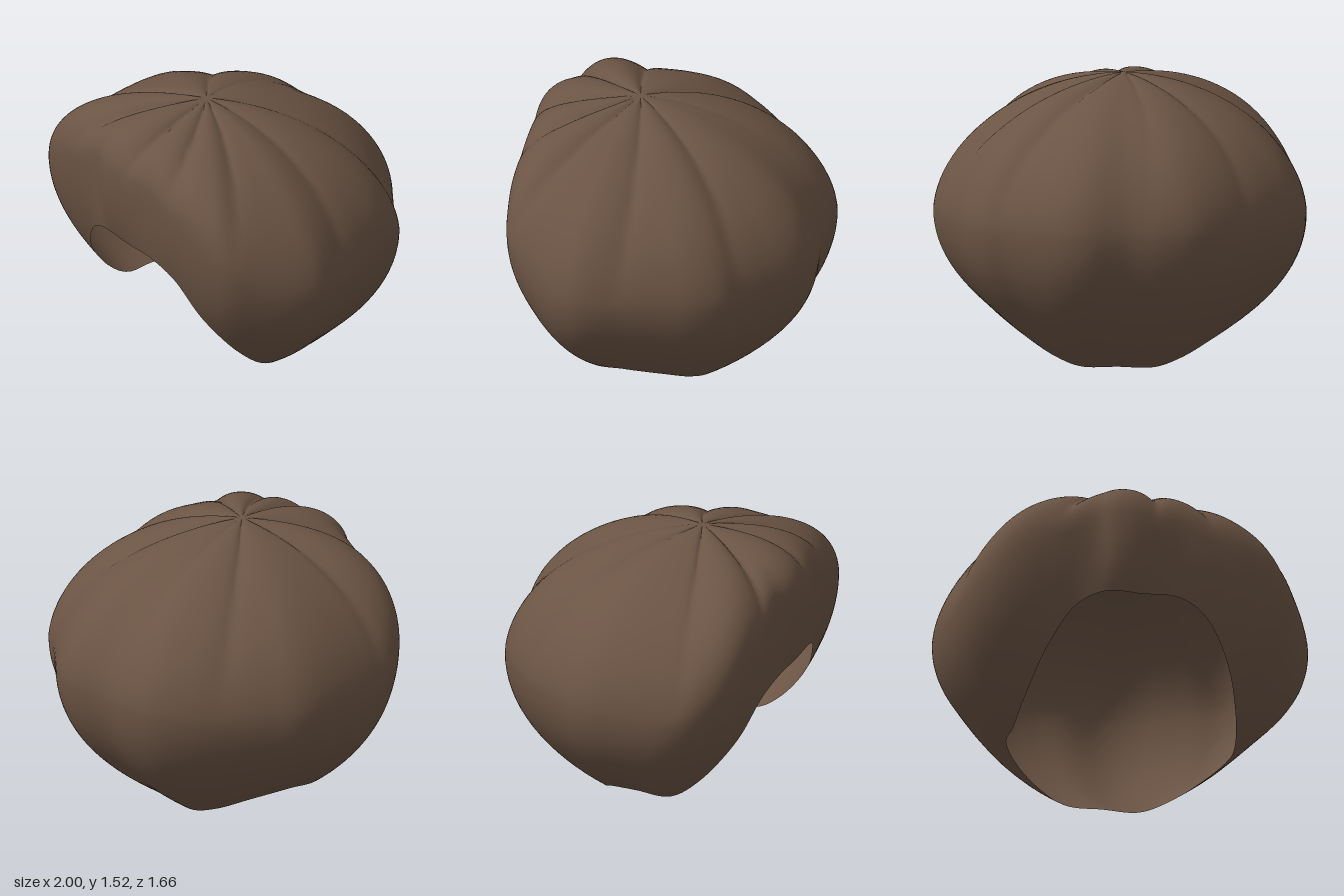
import * as THREE from 'three';

const CROWN = new THREE.Vector3(-0.02, 1.52, 0.22);
const HEART = new THREE.Vector3(0, 0.8, 0);
const SEGMENTS = 180, UPPER = 26, LOWER = 16;

// widest plan outline (x, z), with its soft lobes
const OUTLINE = [
  [1, .22], [.97, .36], [.88, .54], [.77, .68], [.6, .74], [.38, .77], [.2, .785], [-.08, .825],
  [-.18, .81], [-.27, .77], [-.5, .76], [-.7, .73], [-.82, .67], [-.93, .54], [-.98, .4], [-1, 0],
  [-.97, -.13], [-.9, -.25], [-.8, -.4], [-.63, -.61], [-.46, -.74], [-.3, -.78], [-.1, -.79],
  [.1, -.83], [.2, -.82], [.3, -.78], [.45, -.68], [.57, -.6], [.7, -.53], [.8, -.4], [.87, -.2],
  [.93, -.02], [.98, .12],
].map(([x, z]) => [x, 0, z]);

// half of the open rim, forehead to nape
const HALF_RIM = [
  [.2, .81, .75], [.35, .735, .71], [.49, .52, .62], [.58, .28, .43], [.605, .18, .28],
  [.6, .18, .08], [.49, .125, -.1], [.34, .045, -.2], [.2, 0, -.255],
];
const RIM = [[0, .81, .755], ...HALF_RIM, [0, 0, -.26],
  ...HALF_RIM.map(([x, y, z]) => [-x, y, z]).reverse()].map(([x, y, z]) => [x - .015, y, z]);

// groove directions around the crown, in degrees, with depths
const GROOVES = [[25, .05], [52, .06], [80, .06], [125, .07], [162, .06], [221, .045], [256, .025], [306, .05], [344, .05]];

const wrap = (a) => Math.atan2(Math.sin(a), Math.cos(a));

// returns a lookup of a closed loop by its angle around the crown
function byAngle(points) {
  const curve = new THREE.CatmullRomCurve3(points.map((p) => new THREE.Vector3(...p)), true, 'centripetal');
  const samples = curve.getPoints(600).slice(0, -1)
    .map((p) => ({ p, a: Math.atan2(p.z - CROWN.z, p.x - CROWN.x) }))
    .sort((m, n) => m.a - n.a);
  return (angle) => {
    const a = wrap(angle);
    let i = samples.findIndex((s) => s.a > a);
    if (i < 0) i = 0;
    const hi = samples[i], lo = samples[(i + samples.length - 1) % samples.length];
    const t = wrap(a - lo.a) / (wrap(hi.a - lo.a) || 1);
    return lo.p.clone().lerp(hi.p, THREE.MathUtils.clamp(t, 0, 1));
  };
}

function grooveDepth(angle, t) {
  const twisted = angle - 0.15 * (t - 0.5);
  let d = 0;
  for (const [deg, depth] of GROOVES) {
    const off = Math.abs(wrap(twisted - THREE.MathUtils.degToRad(deg)));
    d += depth * Math.exp(-off / 0.13);
  }
  return d * Math.sin(Math.PI * Math.pow(t, 0.75));
}

function hairGeometry() {
  const outlineAt = byAngle(OUTLINE), rimAt = byAngle(RIM);
  const positions = [...CROWN.toArray()], index = [];
  const rows = UPPER + LOWER;

  for (let j = 0; j < SEGMENTS; j++) {
    const angle = (j / SEGMENTS) * Math.PI * 2;
    const front = Math.sin(angle);
    const wide = outlineAt(angle), rim = rimAt(angle);
    wide.y = 0.77 + 0.43 * THREE.MathUtils.smoothstep(front, 0.1, 0.95);
    const power = 2 / (1.85 + 1.1 * Math.max(0, front) ** 2);
    const under = wide.clone().setY(THREE.MathUtils.lerp(wide.y, rim.y, 0.53));
    const lower = new THREE.QuadraticBezierCurve3(wide, under, rim);

    for (let i = 1; i <= rows; i++) {
      let p;
      if (i <= UPPER) {
        // domed top from crown to widest line
        const t = i / UPPER, a = t * Math.PI / 2;
        const out = Math.pow(Math.sin(a), power), up = Math.pow(Math.max(0, Math.cos(a)), power);
        p = CROWN.clone().lerp(wide, out).setY(wide.y + (CROWN.y - wide.y) * up);
        p.lerp(HEART, grooveDepth(angle, t));
      } else {
        // underside curling in to the rim
        p = lower.getPoint((i - UPPER) / LOWER);
      }
      positions.push(p.x, p.y, p.z);
    }
  }

  const at = (i, j) => 1 + (j % SEGMENTS) * rows + i;
  for (let j = 0; j < SEGMENTS; j++) {
    index.push(0, at(0, j + 1), at(0, j));
    for (let i = 0; i < rows - 1; i++) {
      index.push(at(i, j), at(i, j + 1), at(i + 1, j), at(i + 1, j), at(i, j + 1), at(i + 1, j + 1));
    }
  }

  const geometry = new THREE.BufferGeometry();
  geometry.setAttribute('position', new THREE.Float32BufferAttribute(positions, 3));
  geometry.setIndex(index);
  geometry.computeVertexNormals();
  return geometry;
}

export function createModel() {
  const brown = new THREE.MeshStandardMaterial({ color: 0x6b5444, side: THREE.DoubleSide });
  brown.name = 'hairBrown';

  // open shell of hair with a face opening
  const hair = new THREE.Mesh(hairGeometry(), brown);
  hair.name = 'hairCap';

  const group = new THREE.Group();
  group.name = 'hair';
  group.add(hair);
  return group;
}
